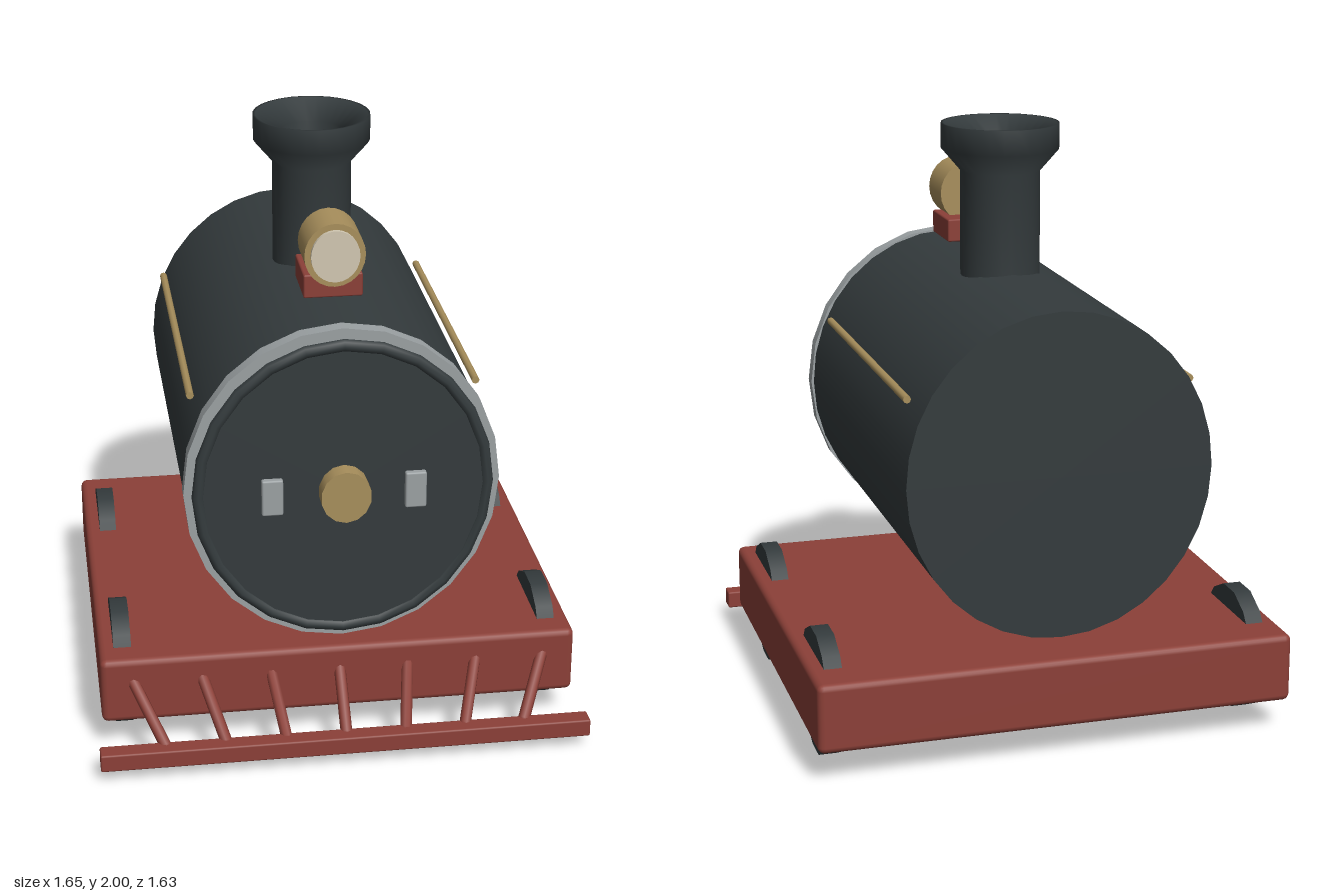
import * as THREE from 'three';
import { RoundedBoxGeometry } from 'three/addons/geometries/RoundedBoxGeometry.js';

export function createModel() {
  const model = new THREE.Group();
  model.name = 'steamLocomotive';

  const paint = (color) => new THREE.MeshStandardMaterial({ color });
  const dark = paint(0x343b3d), red = paint(0x8c4038), brass = paint(0xa88f5c);
  const steel = paint(0x9ba1a3), glass = paint(0xd2c8b2);
  const lining = paint(0x343b3d);
  lining.side = THREE.DoubleSide;

  const add = (name, geometry, material, x = 0, y = 0, z = 0) => {
    const mesh = new THREE.Mesh(geometry, material);
    mesh.name = name;
    mesh.position.set(x, y, z);
    model.add(mesh);
    return mesh;
  };
  // Slightly oval cylinder lying along z between z0 and z1
  const drum = (name, rx, ry, z0, z1, y, sides, material) => {
    const g = new THREE.CylinderGeometry(1, 1, z1 - z0, sides);
    g.rotateX(Math.PI / 2).scale(rx, ry, 1);
    return add(name, g, material, 0, y, (z0 + z1) / 2);
  };
  // Round-ended rod between two points
  const rod = (name, a, b, r, material) => {
    const dir = b.clone().sub(a);
    const mesh = add(name, new THREE.CapsuleGeometry(r, dir.length(), 4, 8), material);
    mesh.position.copy(a).add(b).multiplyScalar(0.5);
    mesh.quaternion.setFromUnitVectors(new THREE.Vector3(0, 1, 0), dir.normalize());
  };

  // Chassis
  add('chassis', new RoundedBoxGeometry(1.62, 0.235, 1.43, 2, 0.022), red, 0, 0.2275, -0.105);

  // Wheels, standing through the chassis
  for (const x of [-0.73, 0.73]) {
    for (const z of [0.355, -0.52]) {
      const g = new THREE.CylinderGeometry(0.215, 0.215, 0.06, 14).rotateZ(Math.PI / 2);
      add('wheel', g, dark, x, 0.21, z);
    }
  }

  // Boiler, front band and smokebox door
  const axis = 0.962;
  drum('boiler', 0.511, 0.543, -0.8, 0.6, axis, 32, dark);
  drum('frontBand', 0.52, 0.552, 0.588, 0.638, axis, 24, steel);
  drum('smokeboxDoor', 0.475, 0.505, 0.63, 0.67, axis, 24, dark);
  const rim = add('doorRim', new THREE.TorusGeometry(0.475, 0.02, 8, 24), dark, 0, axis, 0.66);
  rim.scale.y = 1.06;
  drum('doorKnob', 0.083, 0.09, 0.66, 0.73, axis, 14, brass);
  for (const x of [-0.235, 0.235]) {
    add('doorHinge', new RoundedBoxGeometry(0.07, 0.125, 0.03, 1, 0.006), steel, x, 0.955, 0.676);
  }

  // Handrails along the boiler
  for (const x of [-0.475, 0.475]) {
    const g = new THREE.CylinderGeometry(0.013, 0.013, 1.12, 8).rotateX(Math.PI / 2);
    add('handrail', g, brass, x, 1.224, -0.12);
  }

  // Chimney with flared, hollow mouth
  const profile = [
    [0.135, 1.47], [0.135, 1.84], [0.199, 1.915], [0.199, 2.0], [0.19, 2.0], [0.105, 1.94], [0.105, 1.47],
  ].map(([r, y]) => new THREE.Vector2(r, y));
  const chimney = add('chimney', new THREE.LatheGeometry(profile, 28), lining, 0, 0, -0.103);
  chimney.scale.z = 1.04;

  // Headlamp on its bracket
  add('lampBracket', new RoundedBoxGeometry(0.195, 0.08, 0.21, 1, 0.006), red, 0, 1.575, 0.315);
  drum('lampBody', 0.1, 0.107, 0.297, 0.458, 1.693, 24, brass);
  drum('lampLens', 0.08, 0.087, 0.44, 0.472, 1.693, 24, glass);

  // Pilot: cross bar and splayed struts
  add('pilotBar', new RoundedBoxGeometry(1.655, 0.062, 0.064, 1, 0.006), red, 0, 0.079, 0.783);
  for (let i = -3; i <= 3; i++) {
    rod('pilotStrut', new THREE.Vector3(i * 0.234, 0.26, 0.595),
      new THREE.Vector3(i * 0.203, 0.1, 0.757), 0.02, red);
  }

  return model;
}
